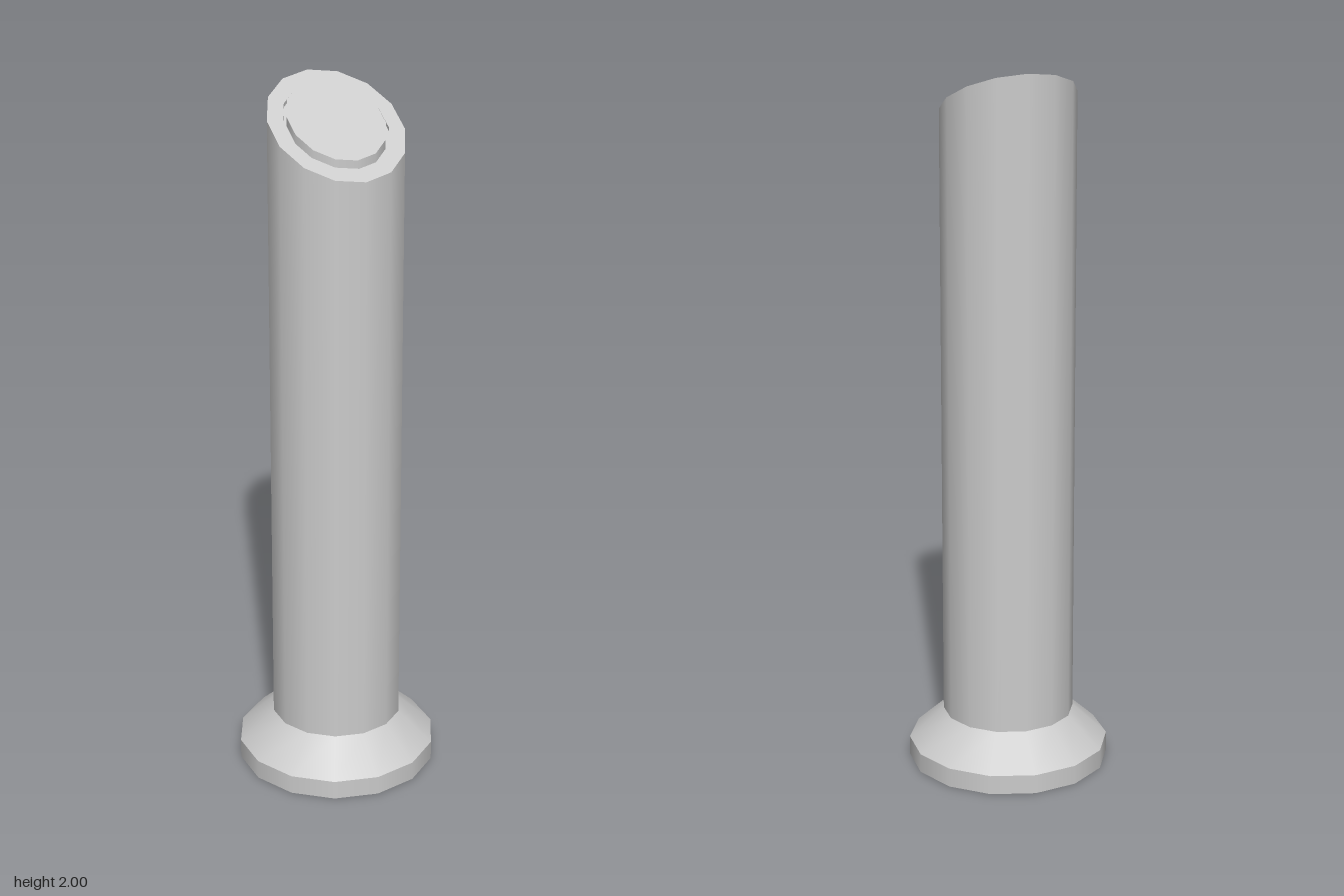
import * as THREE from 'three';

const SIDES = 14;
const SLOPE = 0.2 / 0.37; // the head is cut on a slant, low at the front
const material = new THREE.MeshStandardMaterial({ color: 0xcccccc, side: THREE.DoubleSide });

// Open band from (r0, y0) to (r1, y1); ends listed in slant follow the cut
function band(name, [r0, y0], [r1, y1], slant = '') {
  const height = y1 - y0;
  const geo = new THREE.CylinderGeometry(r1, r0, height, SIDES, 1, true);
  geo.translate(0, (y0 + y1) / 2, 0);
  const pos = geo.attributes.position;
  const topCount = SIDES + 1;
  for (let i = 0; i < pos.count; i++) {
    const end = i < topCount ? 'top' : 'bottom';
    if (slant.includes(end)) pos.setY(i, pos.getY(i) - SLOPE * pos.getZ(i));
  }
  if (height === 0) geo.computeVertexNormals(); // flat faces of the slanted head
  const mesh = new THREE.Mesh(geo, material);
  mesh.name = name;
  return mesh;
}

export function createModel() {
  const model = new THREE.Group();
  model.name = 'bollard';

  // Flared foot, open underneath
  const foot = new THREE.Group();
  foot.name = 'foot';
  foot.add(
    band('footRim', [0.283, 0], [0.283, 0.055]),
    band('footFlare', [0.283, 0.055], [0.185, 0.145])
  );

  // Post with a slanted top end
  const post = band('post', [0.185, 0.145], [0.185, 1.9], 'top');

  // Slanted head: rim, narrow groove and raised disc
  const head = new THREE.Group();
  head.name = 'head';
  const both = 'top bottom';
  head.add(
    band('headRim', [0.185, 1.9], [0.142, 1.9], both),
    band('grooveWall', [0.142, 1.89], [0.142, 1.9], both),
    band('grooveFloor', [0.142, 1.89], [0.133, 1.89], both),
    band('discWall', [0.133, 1.89], [0.133, 1.915], both),
    band('discFace', [0.133, 1.915], [0, 1.915], both)
  );

  model.add(foot, post, head);
  return model;
}
